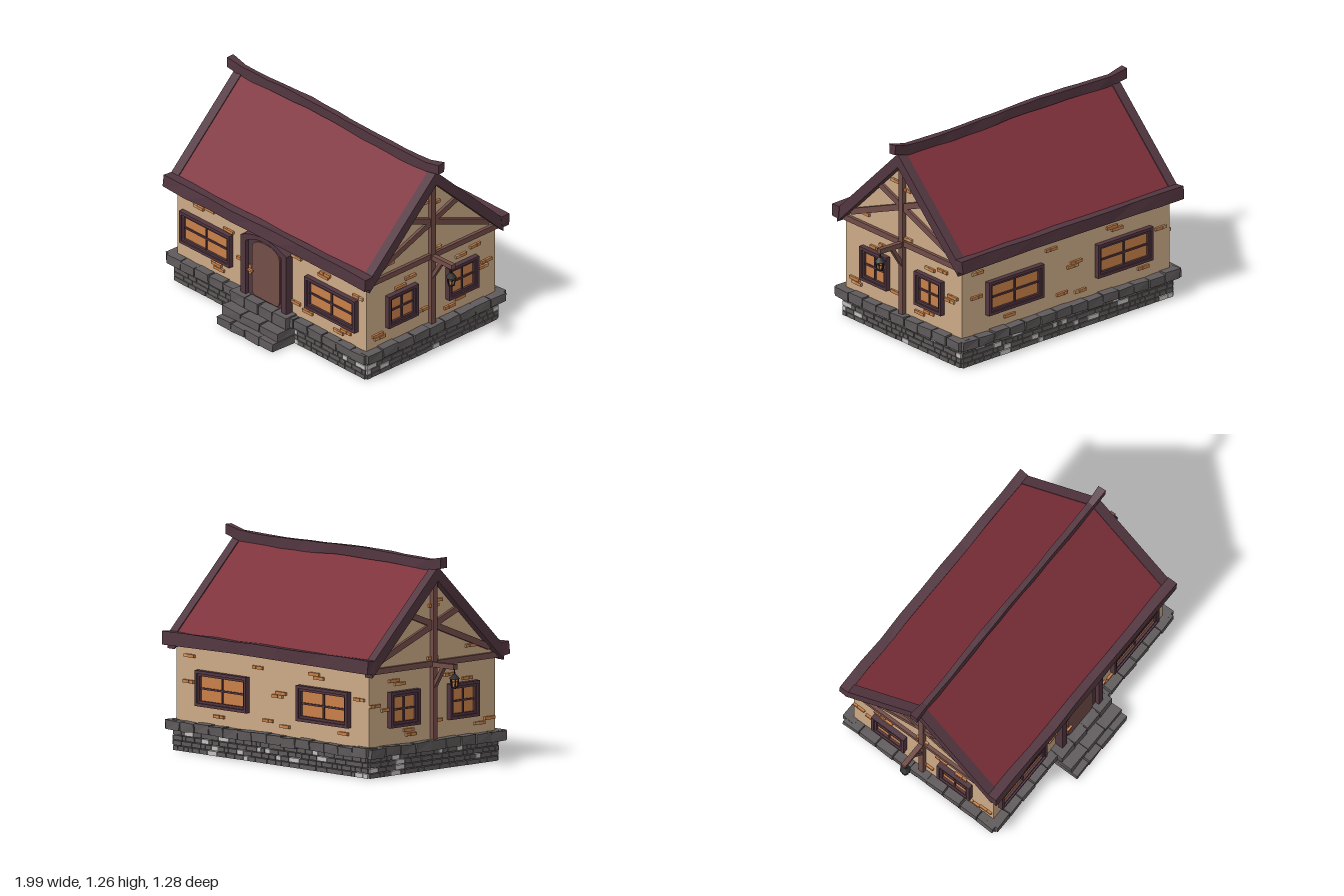
import * as THREE from 'three';

const mat = (name, color) => {
  const m = new THREE.MeshStandardMaterial({ color });
  m.name = name;
  return m;
};
const M = {
  roof: mat('roof red', 0x7d2f39),
  trim: mat('dark plum timber', 0x523640),
  timber: mat('brown timber', 0x724d48),
  plaster: mat('tan plaster', 0xcbaa86),
  brick: mat('orange brick and glass', 0xc98048),
  paleBrick: mat('pale brick', 0xcf9c68),
  stone: mat('grey stone', 0x5f5a5b),
  paleStone: mat('pale stone', 0xc2c1be),
  mortar: mat('dark mortar', 0x43353a),
  iron: mat('black iron', 0x2b2a2c),
};

const ZC = -0.065;          // ridge line
const WX = 0.79, WZ = 0.508; // wall half sizes

let seed = 7;
const rnd = () => (seed = (seed * 16807) % 2147483647) / 2147483647;
const jit = (a) => (rnd() - 0.5) * 2 * a;

function add(parent, name, geo, material, x = 0, y = 0, z = 0) {
  const m = new THREE.Mesh(geo, material);
  m.name = name;
  m.position.set(x, y, z);
  parent.add(m);
  return m;
}
function group(parent, name) {
  const g = new THREE.Group();
  g.name = name;
  parent.add(g);
  return g;
}
const box = (p, name, m, w, h, d, x, y, z) => add(p, name, new THREE.BoxGeometry(w, h, d), m, x, y, z);

// Rough hewn block: a box whose corners are nudged, optionally bent by a rule
function roughBox(w, h, d, amount, segs = 1, rule = null) {
  const g = new THREE.BoxGeometry(w, h, d, segs, 1, 1);
  const p = g.attributes.position, moved = new Map();
  for (let i = 0; i < p.count; i++) {
    const v = new THREE.Vector3().fromBufferAttribute(p, i);
    const key = v.toArray().map((n) => n.toFixed(4)).join();
    if (!moved.has(key)) {
      const n = v.clone().add(new THREE.Vector3(jit(amount), jit(amount), jit(amount)));
      if (rule) rule(n, v);
      moved.set(key, n);
    }
    p.setXYZ(i, ...moved.get(key).toArray());
  }
  const flat = g.toNonIndexed();
  flat.computeVertexNormals();
  return flat;
}

// Timber between two points
function beam(p, name, m, a, b, w, d) {
  const A = new THREE.Vector3(...a), B = new THREE.Vector3(...b), dir = B.clone().sub(A);
  const mesh = add(p, name, new THREE.BoxGeometry(w, dir.length(), d), m);
  mesh.position.copy(A).add(B).multiplyScalar(0.5);
  mesh.quaternion.setFromUnitVectors(new THREE.Vector3(0, 1, 0), dir.normalize());
  return mesh;
}

// Gable cross-section (offset from ridge, height) extruded along x
function gableSolid(p, name, m, pts, x0, x1) {
  const s = new THREE.Shape(pts.map(([u, y]) => new THREE.Vector2(u + ZC, y)));
  const g = new THREE.ExtrudeGeometry(s, { depth: x1 - x0, bevelEnabled: false });
  g.rotateY(-Math.PI / 2);
  return add(p, name, g, m, x1, 0, 0);
}
const chevron = (top, bottom, u) => [[-u, top - 0.965 * u], [-u, bottom - 0.965 * u], [0, bottom],
  [u, bottom - 0.965 * u], [u, top - 0.965 * u], [0, top]];

// Wall frame: local +z is outwards, local x runs along the wall
function wallSpace(parent, name, x, z, angle) {
  const g = group(parent, name);
  g.position.set(x, 0, z);
  g.rotation.y = angle;
  return g;
}

function rectFrame(p, name, m, w, h, t, depth, x, y, z) {
  for (const s of [-1, 1]) {
    box(p, name, m, w, t, depth, x, y + s * (h - t) / 2, z + depth / 2);
    box(p, name, m, t, h - 2 * t, depth, x + s * (w - t) / 2, y, z + depth / 2);
  }
}
function windowUnit(wall, x, w) {
  const g = group(wall, 'window');
  g.position.set(x, 0.382, 0);
  const h = 0.208;
  rectFrame(g, 'windowOuterFrame', M.trim, w, h, 0.018, 0.032, 0, 0, 0);
  rectFrame(g, 'windowInnerFrame', M.trim, w - 0.03, h - 0.03, 0.017, 0.022, 0, 0, 0);
  box(g, 'windowGlass', M.brick, w - 0.05, h - 0.05, 0.008, 0, 0, 0.004);
  box(g, 'windowBar', M.trim, 0.011, h - 0.05, 0.016, 0, 0, 0.008);
  box(g, 'windowBar', M.trim, w - 0.05, 0.011, 0.016, 0, 0, 0.008);
}

// Exposed wall bricks, a long and a short one at each place
function exposedBricks(wall, places) {
  places.forEach(([x, y], i) => {
    const s = i % 2 ? 1 : -1;
    box(wall, 'wallBrick', M.brick, 0.05, 0.018, 0.018, x, y, 0.005);
    box(wall, 'wallBrick', i % 3 ? M.brick : M.paleBrick, 0.03, 0.018, 0.016, x + s * 0.042, y, 0.005);
  });
}

// Courses of thin stones below a ledge of big blocks
function stonework(wall, half) {
  for (let row = 0; row < 4; row++) {
    for (let x = -half; x < half - 0.01;) {
      const w = Math.min(0.03 + rnd() * 0.06, half - x);
      box(wall, 'foundationStone', rnd() < 0.09 ? M.paleStone : M.stone,
        w - 0.004, 0.026, 0.03 + rnd() * 0.006, x + w / 2, 0.0145 + row * 0.0305, 0.003);
      x += w;
    }
  }
  const n = Math.round(half * 2 / 0.115), step = (half * 2 + 0.055) / n;
  for (let i = 0; i < n; i++)
    add(wall, 'ledgeStone', roughBox(step - 0.006, 0.055, 0.085, 0.004), M.stone,
      -half - 0.0275 + step * (i + 0.5), 0.15 + jit(0.003), 0.013);
}

function archShape(w, side, peak) {
  const s = new THREE.Shape(), h = w / 2;
  s.moveTo(-h, 0.165);
  s.lineTo(h, 0.165);
  s.lineTo(h, side);
  s.quadraticCurveTo(h * 0.55, peak, 0, peak);
  s.quadraticCurveTo(-h * 0.55, peak, -h, side);
  return s;
}

function door(wall) {
  const g = group(wall, 'door');
  g.position.x = -0.018;
  const layer = (name, m, s, z, depth) =>
    add(g, name, new THREE.ExtrudeGeometry(s, { depth, bevelEnabled: false, curveSegments: 8 }), m, 0, 0, z);
  const frame = archShape(0.38, 0.56, 0.608);
  frame.holes.push(archShape(0.30, 0.535, 0.582));
  layer('doorFrame', M.trim, frame, -0.01, 0.06);
  layer('doorLeaf', M.trim, archShape(0.302, 0.535, 0.583), -0.01, 0.035);
  const panel = new THREE.Shape();
  panel.moveTo(-0.115, 0.23);
  panel.quadraticCurveTo(-0.115, 0.19, -0.08, 0.19);
  panel.lineTo(0.08, 0.19);
  panel.quadraticCurveTo(0.115, 0.19, 0.115, 0.23);
  panel.lineTo(0.115, 0.5);
  panel.quadraticCurveTo(0.105, 0.562, 0, 0.562);
  panel.quadraticCurveTo(-0.105, 0.562, -0.115, 0.5);
  layer('doorPanel', M.timber, panel, 0.025, 0.008);
  box(g, 'doorHandlePlate', M.brick, 0.02, 0.06, 0.008, -0.13, 0.345, 0.03);
  box(g, 'doorHandle', M.brick, 0.04, 0.012, 0.014, -0.117, 0.35, 0.043);
}

function lantern(parent, x) {
  const g = group(parent, 'lantern');
  g.position.set(x, 0, ZC + 0.005);
  const cyl = (name, m, r0, r1, h, y) => add(g, name, new THREE.CylinderGeometry(r0, r1, h, 6), m, 0, y, 0);
  cyl('lanternHook', M.iron, 0.004, 0.004, 0.045, 0.59);
  cyl('lanternRoof', M.iron, 0.008, 0.034, 0.028, 0.56);
  cyl('lanternGlow', M.brick, 0.022, 0.017, 0.045, 0.523);
  cyl('lanternBase', M.iron, 0.021, 0.021, 0.008, 0.497);
  cyl('lanternBand', M.iron, 0.0235, 0.0225, 0.005, 0.53);
  for (let i = 0; i < 6; i++) {
    const c = Math.sin(i * Math.PI / 3), s = Math.cos(i * Math.PI / 3);
    beam(g, 'lanternBar', M.iron, [c * 0.018, 0.497, s * 0.018], [c * 0.025, 0.548, s * 0.025], 0.005, 0.005);
  }
}

function gableTimber(house, s) {
  const g = group(house, 'gableTimber'), x = s * 0.795;
  box(g, 'gableTieBeam', M.timber, 0.03, 0.034, 1.03, x, 0.617, ZC);
  box(g, 'gablePost', M.timber, 0.044, 0.95, 0.034, x, 0.64, ZC);
  for (const t of [-1, 1])
    beam(g, 'gableBrace', M.timber, [x, 0.668, ZC + t * 0.45], [x, 0.925, ZC - t * 0.21], 0.026, 0.036);
  beam(g, 'lanternArm', M.timber, [s * 0.79, 0.612, ZC], [s * 0.982, 0.616, ZC], 0.03, 0.03);
  beam(g, 'lanternArmBrace', M.timber, [s * 0.8, 0.47, ZC], [s * 0.885, 0.605, ZC], 0.022, 0.026);
  lantern(g, s * 0.968);
}

export function createModel() {
  const house = new THREE.Group();
  house.name = 'cottage';

  // Body
  box(house, 'floor', M.plaster, 1.57, 0.006, 1.006, 0, 0.003, ZC);
  box(house, 'foundationCore', M.mortar, 1.57, 0.144, 1.006, 0, 0.078, ZC);
  gableSolid(house, 'walls', M.plaster, [[-WZ, 0.15], [WZ, 0.15], [WZ, 0.64], [0, 1.13], [-WZ, 0.64]], -WX, WX);

  // Walls with their windows, stones and bricks
  const front = wallSpace(house, 'frontWall', 0, ZC + WZ, 0);
  const back = wallSpace(house, 'backWall', 0, ZC - WZ, Math.PI);
  const leftSide = wallSpace(house, 'leftWall', WX, ZC, Math.PI / 2);
  const rightSide = wallSpace(house, 'rightWall', -WX, ZC, -Math.PI / 2);
  for (const x of [-0.535, 0.513]) windowUnit(front, x, 0.42);
  for (const x of [-0.40, 0.43]) windowUnit(back, x, 0.42);
  for (const w of [leftSide, rightSide]) for (const x of [-0.24, 0.237]) windowUnit(w, x, 0.235);
  for (const w of [front, back]) stonework(w, 0.8);
  for (const w of [leftSide, rightSide]) stonework(w, 0.52);
  door(front);
  exposedBricks(front, [[-0.59, 0.557], [-0.53, 0.576], [-0.34, 0.505], [-0.26, 0.362], [-0.44, 0.243],
    [-0.45, 0.22], [0.23, 0.565], [0.42, 0.53], [0.47, 0.55], [0.71, 0.51], [0.22, 0.262], [0.29, 0.24],
    [0.58, 0.217], [0.61, 0.24]]);
  exposedBricks(back, [[-0.66, 0.56], [-0.7, 0.41], [-0.1, 0.55], [0.03, 0.4], [0.09, 0.42], [-0.45, 0.23],
    [0.12, 0.23], [0.33, 0.56], [0.4, 0.54], [0.7, 0.45], [0.6, 0.24], [-0.05, 0.25]]);
  const gableBricks = [[-0.05, 0.983], [0.01, 0.955], [-0.32, 0.692], [0.02, 0.65], [-0.15, 0.54],
    [-0.26, 0.505], [0.25, 0.527], [0.33, 0.549], [0.45, 0.415], [0.39, 0.385], [-0.05, 0.285],
    [-0.44, 0.255], [-0.39, 0.233], [0.21, 0.252], [0.16, 0.225]];
  exposedBricks(leftSide, gableBricks);
  exposedBricks(rightSide, gableBricks.map(([x, y]) => [-x, y]));

  // Front steps
  const steps = group(house, 'frontSteps');
  [[0.0275, 0.635], [0.082, 0.595], [0.148, 0.53]].forEach(([y, zEnd], row) => {
    const n = 4 - (row === 1 ? 1 : 0), w = 0.47 / n, depth = zEnd - 0.44;
    for (let i = 0; i < n; i++)
      add(steps, 'stepStone', roughBox(w - 0.005, row === 2 ? 0.066 : 0.053, depth, 0.004), M.stone,
        -0.26 + w * (i + 0.5), y + 0.001, zEnd - depth / 2);
  });

  // Gables
  for (const s of [-1, 1]) {
    gableTimber(house, s);
    gableSolid(house, 'gableRafters', M.trim, chevron(1.183, 1.1, 0.53), s > 0 ? 0.78 : -0.84, s > 0 ? 0.84 : -0.78);
  }

  // Roof covering, eaves and ridge
  gableSolid(house, 'roofCovering', M.roof, chevron(1.175, 1.13, 0.53), -0.781, 0.781);
  for (const s of [-1, 1]) {
    const eave = add(house, 'eaveBeam', roughBox(1.685, 0.076, 0.058, 0.004, 9), M.trim, 0, 0.653, ZC + s * 0.541);
    eave.rotation.x = -s * 0.08;
  }
  const ridgeRule = (n, v) => {
    const end = Math.max(0, Math.abs(v.x) - 0.78) / 0.1;
    n.y += 0.008 * Math.cos(v.x * 5 + 1) + 0.022 * Math.min(1, end);
    n.z *= 1 + 0.3 * end;
  };
  add(house, 'ridgeBeam', roughBox(1.765, 0.062, 0.036, 0.003, 16, ridgeRule), M.trim, -0.003, 1.196, ZC);
  return house;
}
